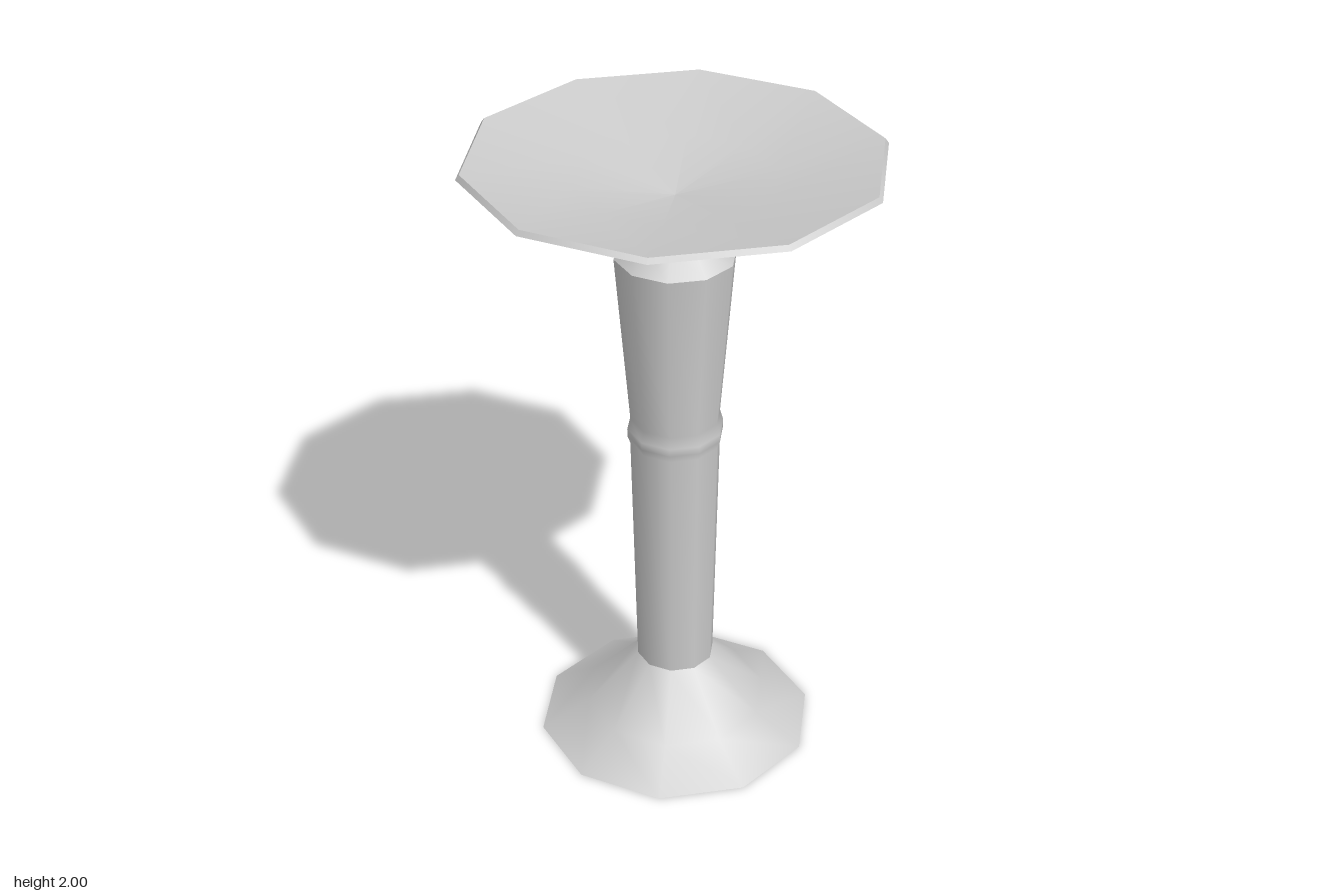
import * as THREE from 'three';

const SIDES = 10;
const material = new THREE.MeshStandardMaterial({ color: 0xcccccc, side: THREE.DoubleSide });

// Ten-sided turned part with a corner on the x axis; profile is [radius, height]
function turned(name, profile) {
  const points = profile.map(([r, y]) => new THREE.Vector2(r, y));
  const mesh = new THREE.Mesh(new THREE.LatheGeometry(points, SIDES, Math.PI / 2), material);
  mesh.name = name;
  return mesh;
}

export function createModel() {
  const group = new THREE.Group();
  group.name = 'pedestalBowl';

  // Each part ends at a sharp edge; shading is smooth inside a part
  group.add(
    // Flared foot, hollow and open underneath
    turned('foot', [[0.438, 0], [0.287, 0.09], [0.122, 0.26]]),
    // Column with a raised ring at mid height
    turned('column', [
      [0.122, 0.26], [0.139, 1.06], [0.148, 1.085], [0.148, 1.11], [0.138, 1.145], [0.182, 1.69],
    ]),
    // Chamfered shoulder and the neck above it
    turned('shoulder', [[0.182, 1.69], [0.12, 1.75]]),
    turned('neck', [[0.12, 1.75], [0.14, 1.81]]),
    // Wide bowl: sloping underside, thin bevelled rim and shallow dished inside
    turned('bowlUnderside', [[0.14, 1.81], [0.625, 1.985]]),
    turned('bowlRim', [[0.625, 1.985], [0.614, 2]]),
    turned('bowlInside', [[0.614, 2], [0.3, 1.93], [0, 1.88]]),
  );
  return group;
}
